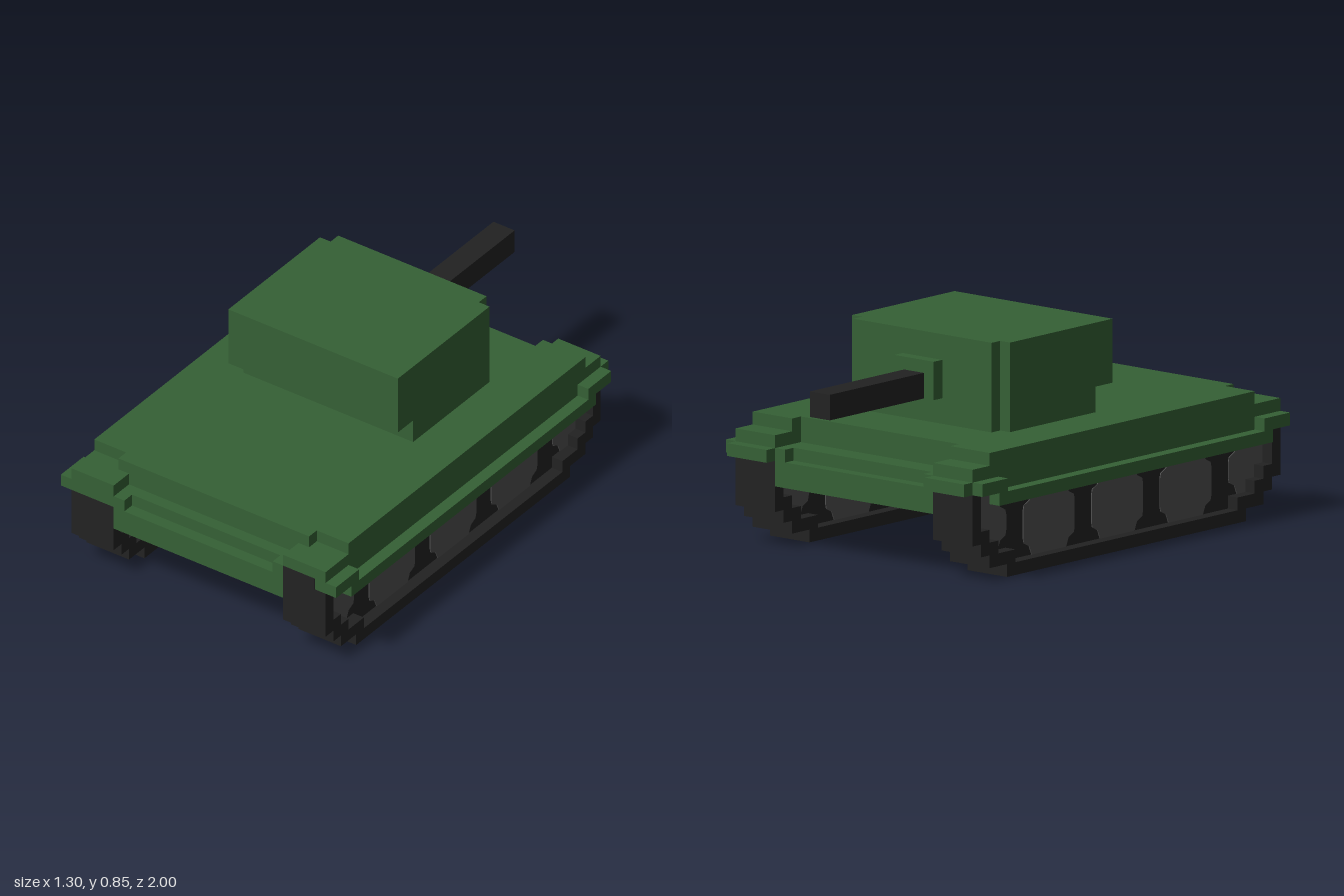
import * as THREE from 'three';

export function createModel() {
  const model = new THREE.Group();
  const mat = (name, color) => {
    const m = new THREE.MeshStandardMaterial({ color });
    m.name = name;
    return m;
  };
  const green = mat('armour green', 0x356035);
  const black = mat('track black', 0x222222);
  const grey = mat('wheel grey', 0x505050);

  // Box from its limits on each axis
  const box = (name, m, x0, x1, y0, y1, z0, z1) => {
    const mesh = new THREE.Mesh(new THREE.BoxGeometry(x1 - x0, y1 - y0, z1 - z0), m);
    mesh.position.set((x0 + x1) / 2, (y0 + y1) / 2, (z0 + z1) / 2);
    mesh.name = name;
    model.add(mesh);
  };
  // Box centred on x = 0
  const mid = (name, m, hx, ...rest) => box(name, m, -hx, hx, ...rest);
  // The same box on both sides
  const pair = (name, m, x0, x1, ...rest) => {
    box(name + 'Left', m, x0, x1, ...rest);
    box(name + 'Right', m, -x1, -x0, ...rest);
  };
  // Side profile of [z, y] points, extruded from x0 to x1
  const slab = (name, m, pts, x0, x1) => {
    const shape = new THREE.Shape(pts.map(([z, y]) => new THREE.Vector2(z, y)));
    const geo = new THREE.ExtrudeGeometry(shape, { depth: x1 - x0, bevelEnabled: false });
    geo.rotateY(-Math.PI / 2).translate(x1, 0, 0);
    const mesh = new THREE.Mesh(geo, m);
    mesh.name = name;
    model.add(mesh);
  };

  // Hull with stepped bow and stern
  mid('hullLower', green, 0.4, 0.25, 0.35, -0.8, 1);
  mid('hullMiddle', green, 0.4, 0.35, 0.4, -0.75, 0.95);
  pair('hullCheek', green, 0.35, 0.4, 0.35, 0.4, -0.8, 1);
  mid('deck', green, 0.45, 0.4, 0.5, -0.65, 0.9);
  pair('deckSide', green, 0.4, 0.6, 0.35, 0.5, -0.7, 0.85);

  // Fenders and side skirts
  pair('frontFender', green, 0.4, 0.6, 0.35, 0.45, 0.85, 1);
  pair('rearFender', green, 0.4, 0.6, 0.35, 0.45, -0.8, -0.7);
  pair('rearFenderTip', green, 0.4, 0.6, 0.35, 0.4, -0.85, -0.8);
  pair('skirt', green, 0.6, 0.65, 0.3, 0.35, -0.7, 0.9);
  pair('skirtFront', green, 0.6, 0.65, 0.35, 0.4, 0.85, 1);
  pair('skirtRear', green, 0.6, 0.65, 0.35, 0.4, -0.8, -0.65);
  box('fenderPatch', black, 0.4, 0.55, 0.35, 0.4, 0.998, 1.002);

  // Turret and gun
  mid('turretBase', green, 0.4, 0.5, 0.6, -0.35, 0.15);
  mid('turretBody', green, 0.4, 0.6, 0.85, -0.35, 0.25);
  mid('turretFace', green, 0.35, 0.5, 0.85, -0.4, -0.35);
  mid('mantlet', green, 0.1, 0.6, 0.75, -0.45, -0.4);
  mid('gunBarrel', black, 0.05, 0.6, 0.7, -1, -0.45);

  // Track outlines: half-lengths per step, mirrored about the track centre
  const C = 0.1;
  const mirror = (half) => [
    ...half.map(([d, y]) => [C + d, y]),
    ...half.map(([d, y]) => [C - d, y]).reverse(),
  ];
  const outer = [[0.9, 0.35], [0.9, 0.15], [0.85, 0.15], [0.85, 0.1], [0.8, 0.1],
    [0.8, 0.05], [0.7, 0.05], [0.7, 0]];
  const inner = [[0.85, 0.35], [0.85, 0.2], [0.8, 0.2], [0.8, 0.15], [0.75, 0.15],
    [0.75, 0.1], [0.65, 0.1], [0.65, 0.05]];
  const belt = [...mirror(outer), ...mirror(inner).reverse()];
  const core = mirror(inner);

  // Wheel faces: three road wheels and two end wheels
  const road = [[-0.15, 0.12], [-0.145, 0.1], [-0.115, 0.085], [-0.1, 0.05], [0.1, 0.05],
    [0.115, 0.085], [0.145, 0.1], [0.15, 0.12], [0.15, 0.23], [0.145, 0.25],
    [0.115, 0.265], [0.1, 0.3], [-0.1, 0.3], [-0.115, 0.265], [-0.145, 0.25], [-0.15, 0.23]];
  const end = [[0.85, 0.35], [0.85, 0.2], [0.8, 0.2], [0.8, 0.15], [0.75, 0.15], [0.75, 0.1],
    [0.7, 0.1], [0.685, 0.135], [0.655, 0.15], [0.65, 0.17], [0.65, 0.23], [0.655, 0.25],
    [0.685, 0.265], [0.7, 0.3], [0.7, 0.35]];
  const wheels = [
    ...[-0.3, 0.1, 0.5].map((c) => road.map(([z, y]) => [c + z, y])),
    ...[-1, 1].map((s) => end.map(([d, y]) => [C + s * d, y])),
  ];

  for (const [side, x] of [['left', 0.5], ['right', -0.5]]) {
    slab(side + 'TrackBelt', black, belt, x - 0.1, x + 0.1);
    slab(side + 'TrackCore', black, core, x - 0.05, x + 0.05);
    wheels.forEach((pts, i) => slab(side + 'Wheel' + (i + 1), grey, pts, x - 0.054, x + 0.054));
  }
  return model;
}
